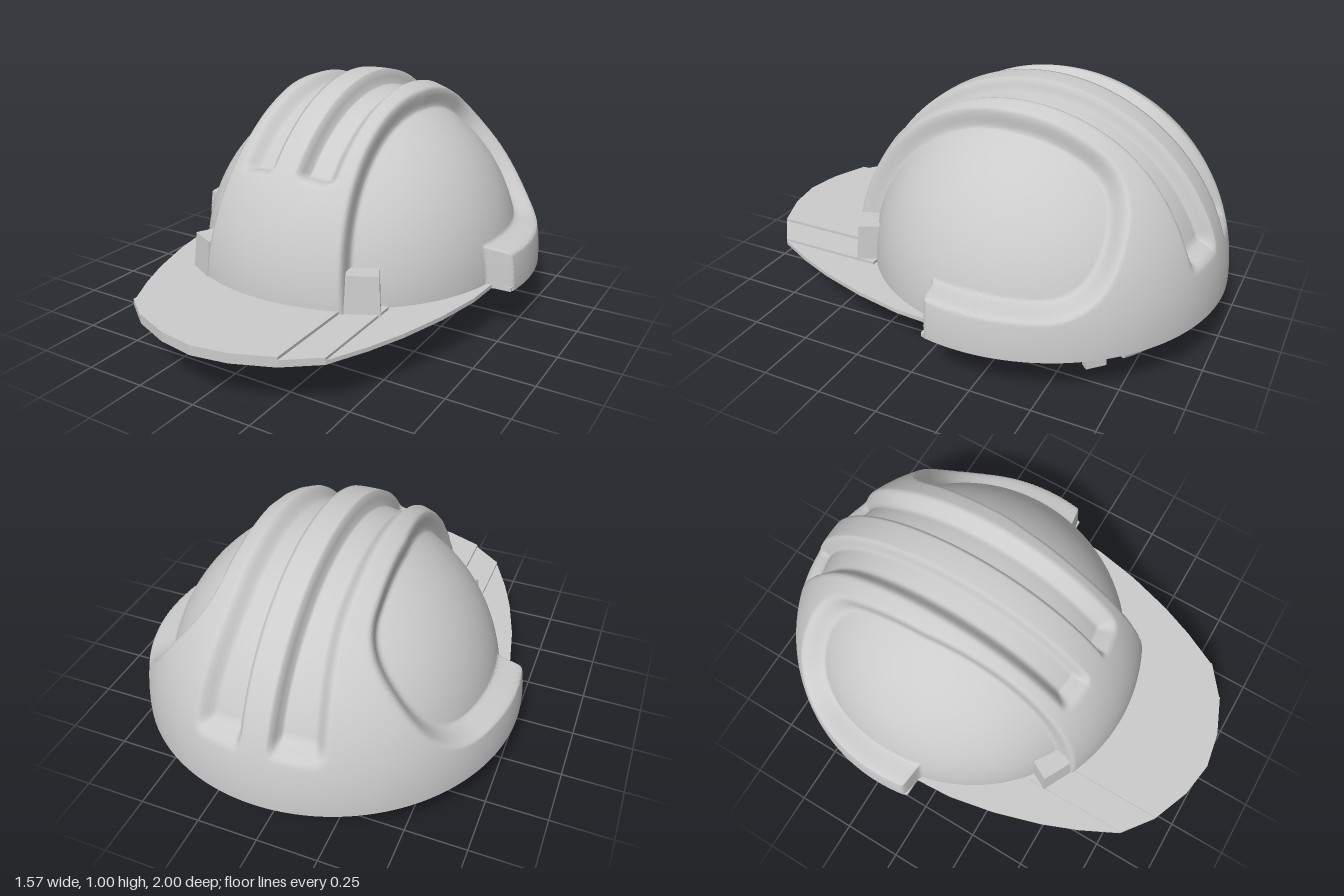
import * as THREE from 'three';
import { toCreasedNormals } from 'three/addons/utils/BufferGeometryUtils.js';

const CZ = -0.21, BASE = 0.2;
const step = THREE.MathUtils.smoothstep;
const smin = (a, b, k) => {
  const h = Math.max(k - Math.abs(a - b), 0) / k;
  return Math.min(a, b) - h * h * k / 4;
};

// Grid surface: f(i, j) gives the point, i across and j along
function grid(nu, nv, f) {
  const pos = [], idx = [];
  for (let j = 0; j <= nv; j++) for (let i = 0; i <= nu; i++) pos.push(...f(i, j));
  for (let j = 0; j < nv; j++) for (let i = 0; i < nu; i++) {
    const a = j * (nu + 1) + i, b = a + 1, c = a + nu + 1, d = c + 1;
    idx.push(a, b, d, a, d, c);
  }
  const g = new THREE.BufferGeometry();
  g.setAttribute('position', new THREE.Float32BufferAttribute(pos, 3));
  g.setIndex(idx);
  g.computeVertexNormals();
  return g;
}

// Outer shell: recessed side panels, raised crown and rear, two channels beside a middle rib
function shellGeometry() {
  const NU = 220, NA = 140;
  return grid(NU, NA, (i, j) => {
    const u = (i / NU - 0.5) * Math.PI, a = (j / NA) * Math.PI;
    const d = [Math.sin(u), Math.cos(u) * Math.sin(a), Math.cos(u) * Math.cos(a)];
    const low = [0.687 * d[0], 0.728 * d[1], 0.715 * d[2]];
    const high = [0.785 * d[0], 0.8 * d[1], 0.788 * d[2]];
    // Distance inside the side panel, with rounded corners; the crown is waisted at the front
    const x = Math.abs(low[0]), y = low[1] + BASE, z = low[2] + CZ;
    const waist = 0.03 * Math.max(0, Math.sin(2 * a));
    const crown = x - (0.25 + 0.032 * Math.cos(a) ** 2 - waist);
    const rim = Math.max(y - 0.34, z + 0.09);
    const inside = smin(smin(crown, z + 0.675, 0.14), rim, z < -0.3 ? 0.2 : 0.01);
    const raise = 1 - step(inside, 0, 0.04);
    // Channels, widening towards the rear and ending in a step
    const hx = Math.abs(high[0]), widen = 0.04 * step(a, 2.1, 2.85);
    const across = step(hx, 0.055, 0.08) * (1 - step(hx, 0.17 + widen, 0.22 + widen));
    const along = step(a, 0.66, 0.72) * (1 - step(a, 2.76, 2.86));
    const k = 1 - 0.075 * across * along;
    const p = low.map((v, n) => v + (high[n] * k - v) * raise);
    return [p[0], p[1] + BASE, p[2] + CZ];
  });
}

// Flat plate from an outline in (x, z)
function plate(points, top, depth, hole) {
  const shape = new THREE.Shape(points.map(p => new THREE.Vector2(p[0], p[1])));
  if (hole) shape.holes.push(hole);
  const g = new THREE.ExtrudeGeometry(shape, { depth, bevelEnabled: false, curveSegments: 48 });
  return g.rotateX(Math.PI / 2).translate(0, top, 0);
}
const mirrored = half => [...half, ...half.slice().reverse().filter(p => p[0] !== 0).map(p => [-p[0], p[1]])];

// Headband path: angle t from the front, radial offset o, height offset h
function bandPoint(t, o, h) {
  const z = -0.2 + 0.6 * Math.cos(t), s = (0.4 - z) / 1.2;
  return [(0.62 + o) * Math.sin(t), 0.185 - 0.03 * s - 0.11 * s ** 3 + h, z + o * Math.cos(t)];
}
function sweep(t0, t1, n, section, capped) {
  return grid(n, section.length - 1, (i, j) => {
    const s = capped && (i === 0 || i === n) ? 0 : 1;
    const k = capped ? THREE.MathUtils.clamp(i, 1, n - 1) : i;
    return bandPoint(t0 + (t1 - t0) * k / n, section[j][0] * s, section[j][1] * s);
  });
}

export function createModel() {
  const group = new THREE.Group();
  const solid = new THREE.MeshStandardMaterial({ color: 0xcccccc });
  const thin = new THREE.MeshStandardMaterial({ color: 0xcccccc, side: THREE.DoubleSide });
  const add = (name, geometry, material = solid, parent = group) => {
    const m = new THREE.Mesh(geometry, material);
    m.name = name;
    parent.add(m);
    return m;
  };

  add('shell', shellGeometry());
  const liner = new THREE.SphereGeometry(1, 48, 20, 0, Math.PI * 2, 0, Math.PI / 2);
  add('shellInside', liner.scale(0.64, 0.69, 0.66).translate(0, BASE, CZ), thin);

  // Brim plate, closing the underside of the shell, with two raised layers in front
  const side = [[0.69, -0.06], [0.68, 0.1], [0.64, 0.3], [0.58, 0.5], [0.52, 0.65]];
  const tip = [[0.44, 0.81], [0.31, 0.91], [0.15, 0.975], [0, 1]];
  const outline = mirrored([...side, ...tip]);
  for (let i = 0; i <= 48; i++) {
    const a = Math.PI - 0.19 + (Math.PI + 0.38) * i / 48;
    outline.push([0.783 * Math.cos(a), CZ + 0.783 * Math.sin(a)]);
  }
  const hole = new THREE.Path().absellipse(0, CZ, 0.64, 0.66, 0, Math.PI * 2, true);
  add('brim', plate(outline, 0.217, 0.017, hole));
  add('brimMiddleLayer', plate(mirrored([[0.44, 0.36], ...tip]), 0.228, 0.027));
  add('brimTopLayer', plate(mirrored([[0.31, 0.48], ...tip.slice(1)]), 0.24, 0.039));

  // Accessory sockets at the front corners, leaning back to the shell
  for (const s of [1, -1]) {
    const g = new THREE.BoxGeometry(0.14, 0.17, 0.09);
    const p = g.attributes.position;
    for (let i = 0; i < p.count; i++) if (p.getY(i) > 0) {
      p.setX(i, p.getX(i) * 0.9);
      p.setZ(i, p.getZ(i) - 0.015);
    }
    g.computeVertexNormals();
    const m = add('frontSocket', g);
    m.position.set(s * 0.365, 0.293, 0.43);
    m.rotation.y = s * 0.48;
  }

  // Headband with square slots along both sides
  const band = new THREE.Group();
  band.name = 'headband';
  group.add(band);
  const N = 72, H = 0.026;
  for (let i = 0; i < N; i++) {
    const t0 = i / N * Math.PI * 2, t1 = (i + 1) / N * Math.PI * 2;
    const t = (t0 + t1) / 2, fromFront = Math.min(t, Math.PI * 2 - t);
    const k = Math.round(fromFront / (t1 - t0) - 0.5);
    const slot = k >= 11 && k <= 19 && k % 2 === 1;
    const strips = slot ? [[-H, -0.017], [0.017, H]] : [[-H, H]];
    for (const [lo, hi] of strips) add('bandSegment', sweep(t0, t1, 1, [[0, lo], [0, hi]]), thin, band);
  }

  // Padded nape piece and brow pad
  const round = [];
  for (let i = 0; i <= 16; i++) {
    const a = i / 16 * Math.PI * 2;
    const f = v => Math.sign(v) * Math.sqrt(Math.abs(v));
    round.push([0.024 * f(Math.cos(a)), 0.043 * f(Math.sin(a))]);
  }
  add('napePad', toCreasedNormals(sweep(Math.PI - 0.63, Math.PI + 0.63, 26, round, true), 0.7), thin);
  const flat = [[-0.012, -0.03], [-0.004, -0.03], [-0.004, 0.02], [-0.012, 0.02], [-0.012, -0.03]];
  add('browPad', toCreasedNormals(sweep(-0.6, 0.6, 20, flat, true), 0.7), thin);

  // Crossed suspension straps and their clips on the band
  for (const s of [1, -1]) {
    const g = new THREE.CylinderGeometry(0.61, 0.61, 0.075, 40, 1, true, -Math.PI / 2, Math.PI);
    g.rotateX(-Math.PI / 2).scale(1, 0.98, 1);
    const strap = add('suspensionStrap', g, thin);
    strap.position.set(0, 0.12, -0.2);
    strap.rotation.y = s * Math.PI / 4;
    for (const back of [false, true]) {
      const t = s * (back ? 2.36 : 0.79);
      const clip = add(back ? 'rearClip' : 'frontClip', new THREE.BoxGeometry(0.085, back ? 0.1 : 0.075, 0.035));
      clip.position.set(...bandPoint(t, 0, back ? -0.008 : 0));
      clip.rotation.y = t;
    }
  }
  return group;
}
